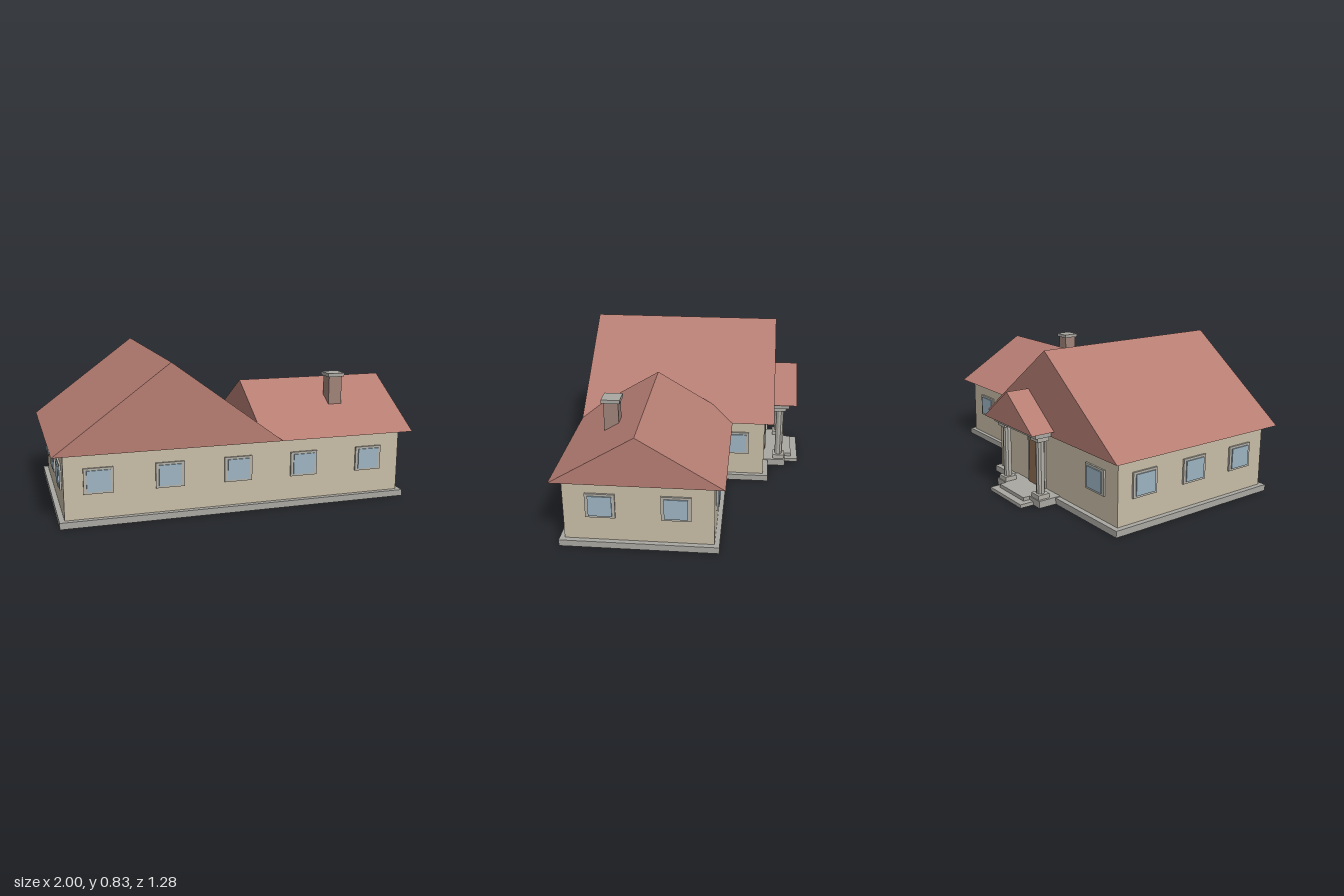
import * as THREE from 'three';

const mat = (color) => new THREE.MeshStandardMaterial({ color, flatShading: true });

export function createModel() {
  const house = new THREE.Group();
  house.name = 'house';
  const wall = mat(0xc8bda7), stone = mat(0xaaa8a2), roof = mat(0xb67d73), frame = mat(0xb4b1a8);
  const glass = mat(0x9db4c2), brick = mat(0xa08379), wood = mat(0x8f6c52);

  const add = (name, geometry, material, parent = house) => {
    const mesh = new THREE.Mesh(geometry, material);
    mesh.name = name;
    parent.add(mesh);
    return mesh;
  };
  // Box given by its limits on each axis
  const box = (name, material, [x0, x1], [y0, y1], [z0, z1], parent) => {
    const mesh = add(name, new THREE.BoxGeometry(x1 - x0, y1 - y0, z1 - z0), material, parent);
    mesh.position.set((x0 + x1) / 2, (y0 + y1) / 2, (z0 + z1) / 2);
    return mesh;
  };
  // L-shaped slab: outline is drawn in x and -z, then laid flat
  const slab = (name, material, o, y0, y1) => {
    const pts = [[-o.x, o.front], [o.x, o.front], [o.x, o.wingBack], [o.inner, o.wingBack], [o.inner, o.back], [-o.x, o.back]];
    const shape = new THREE.Shape(pts.map(([x, z]) => new THREE.Vector2(x, -z)));
    const g = new THREE.ExtrudeGeometry(shape, { depth: y1 - y0, bevelEnabled: false });
    g.rotateX(-Math.PI / 2).translate(0, y0, 0);
    return add(name, g, material);
  };
  // Closed triangular prism, ridge along z
  const gable = (name, halfWidth, height, length) => {
    const shape = new THREE.Shape([
      new THREE.Vector2(-halfWidth, 0), new THREE.Vector2(halfWidth, 0), new THREE.Vector2(0, height),
    ]);
    const g = new THREE.ExtrudeGeometry(shape, { depth: length, bevelEnabled: false });
    return add(name, g, roof);
  };

  // Foundation and walls
  slab('foundation', stone, { x: 0.97, front: 0.615, wingBack: -0.212, inner: 0.195, back: -0.455 }, 0, 0.035);
  slab('walls', wall, { x: 0.942, front: 0.588, wingBack: -0.186, inner: 0.168, back: -0.426 }, 0.035, 0.383);

  // Roofs
  gable('mainRoof', 0.611, 0.45, 1.12).position.set(-0.389, 0.383, -0.48);
  const wingRoof = gable('wingRoof', 0.44, 0.265, 0.88);
  wingRoof.rotation.y = Math.PI / 2;
  wingRoof.position.set(0.12, 0.383, 0.2);
  gable('porchRoof', 0.247, 0.185, 0.19).position.set(-0.23, 0.416, -0.616);

  // Chimney
  box('chimney', brick, [0.586, 0.664], [0.45, 0.677], [0.336, 0.414]);
  box('chimneyCap', stone, [0.576, 0.674], [0.677, 0.697], [0.326, 0.424]);

  // Windows: built facing +z, then turned to their wall
  const addWindow = (x, z, turn) => {
    const win = new THREE.Group();
    win.name = 'window';
    const outer = new THREE.Shape([[-1, -1], [1, -1], [1, 1], [-1, 1]]
      .map(([a, b]) => new THREE.Vector2(a * 0.077, b * 0.068)));
    outer.holes.push(new THREE.Path([[-1, -1], [-1, 1], [1, 1], [1, -1]]
      .map(([a, b]) => new THREE.Vector2(a * 0.061, b * 0.056))));
    add('windowFrame', new THREE.ExtrudeGeometry(outer, { depth: 0.01, bevelEnabled: false }), frame, win);
    box('windowPane', glass, [-0.061, 0.061], [-0.056, 0.056], [-0.005, 0.016], win);
    win.position.set(x, 0.236, z);
    win.rotation.y = turn;
    house.add(win);
  };
  for (const x of [-0.765, -0.39, -0.015, 0.363, 0.752]) addWindow(x, 0.588, 0);
  for (const x of [-0.765]) addWindow(x, -0.426, Math.PI);
  for (const x of [0.363, 0.752]) addWindow(x, -0.186, Math.PI);
  for (const z of [0.395, 0.008]) addWindow(0.942, z, Math.PI / 2);
  addWindow(0.168, -0.26, Math.PI / 2);
  for (const z of [0.41, 0.075, -0.26]) addWindow(-0.942, z, -Math.PI / 2);

  // Door
  box('door', wood, [-0.298, -0.162], [0.04, 0.31], [-0.44, -0.42]);
  box('doorLintel', frame, [-0.315, -0.145], [0.31, 0.33], [-0.436, -0.42]);
  for (const x of [-0.315, -0.162]) box('doorJamb', frame, [x, x + 0.017], [0.04, 0.31], [-0.436, -0.42]);
  const knob = add('doorKnob', new THREE.SphereGeometry(0.006, 10, 8), wood);
  knob.position.set(-0.28, 0.175, -0.444);

  // Porch floor, steps and ceiling
  box('porchFloor', stone, [-0.45, -0.01], [0, 0.04], [-0.56, -0.42]);
  box('upperStep', stone, [-0.355, -0.105], [0, 0.04], [-0.6, -0.55]);
  box('lowerStep', stone, [-0.39, -0.07], [0, 0.02], [-0.64, -0.55]);
  box('porchCeiling', stone, [-0.445, -0.015], [0.384, 0.416], [-0.574, -0.425]);

  // Columns
  for (const x of [-0.4, -0.06]) {
    const column = new THREE.Group();
    column.name = 'column';
    box('columnBase', frame, [-0.035, 0.035], [0.04, 0.065], [-0.035, 0.035], column);
    box('columnCapital', frame, [-0.035, 0.035], [0.36, 0.384], [-0.035, 0.035], column);
    add('columnShaft', new THREE.CylinderGeometry(0.023, 0.023, 0.295, 10), frame, column).position.y = 0.2125;
    column.position.set(x, 0, -0.52);
    house.add(column);
  }
  return house;
}
